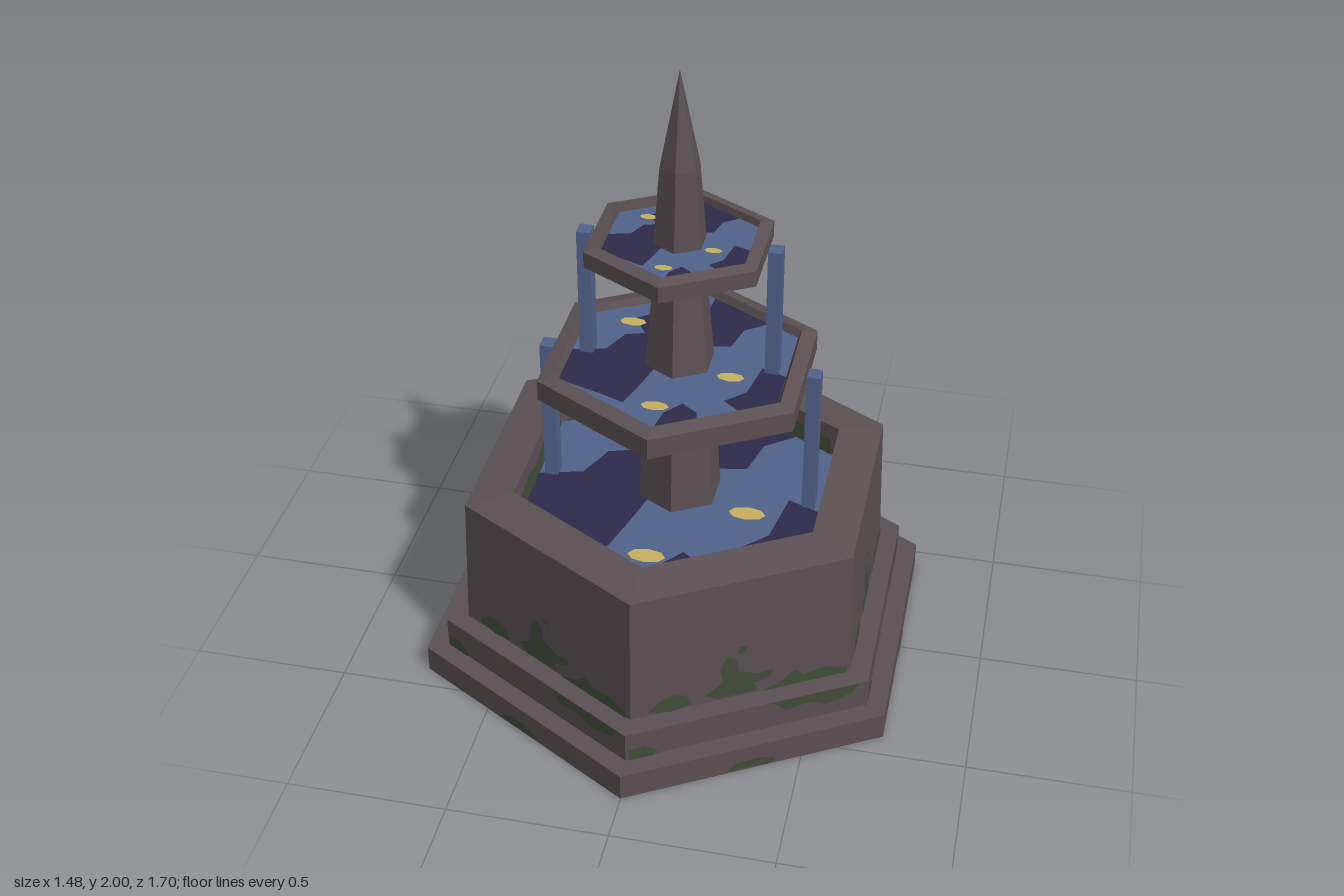
import * as THREE from 'three';

const mat = (name, color, extra = {}) =>
  Object.assign(new THREE.MeshStandardMaterial({ color, ...extra }), { name });

export function createModel() {
  const stone = mat('stone', 0x5c5053, { flatShading: true });
  const moss = mat('moss', 0x424e39);
  const water = mat('water', 0x50638a, { flatShading: true });
  const deepWater = mat('deep water', 0x2d2b49);
  const gold = mat('coin gold', 0xc6b160);

  const fountain = new THREE.Group();
  fountain.name = 'fountain';
  const add = (name, geometry, material, parent = fountain) => {
    const mesh = new THREE.Mesh(geometry, material);
    mesh.name = name;
    parent.add(mesh);
    return mesh;
  };

  // Six-sided solid turned from [radius, height] points, corners on the z axis
  const hexSolid = (name, points) => {
    const profile = points.map(([r, y]) => new THREE.Vector2(r, y));
    return add(name, new THREE.LatheGeometry(profile, 6).toNonIndexed(), stone);
  };
  const flat = (points) =>
    new THREE.ShapeGeometry(new THREE.Shape(points.map(([x, y]) => new THREE.Vector2(x, y))));

  // Stepped base, basin, bowls, columns and spire
  hexSolid('lowerStep', [[0, 0], [0.85, 0], [0.85, 0.09], [0.7, 0.09]]);
  hexSolid('upperStep', [[0.78, 0.09], [0.78, 0.19], [0.6, 0.19]]);
  hexSolid('basin', [[0.71, 0.19], [0.695, 0.63], [0.54, 0.645], [0.53, 0.53]]);
  hexSolid('lowerColumn', [[0.137, 0.53], [0.115, 0.84]]);
  hexSolid('middleBowl', [[0, 0.83], [0.125, 0.83], [0.45, 0.975], [0.45, 1.043],
    [0.398, 1.055], [0.378, 1.015]]);
  hexSolid('upperColumn', [[0.112, 1.01], [0.085, 1.32]]);
  hexSolid('topBowl', [[0, 1.305], [0.08, 1.305], [0.295, 1.412], [0.295, 1.463],
    [0.252, 1.472], [0.243, 1.435]]);
  hexSolid('spire', [[0.084, 1.43], [0.062, 1.7], [0, 2]]);

  // Water surfaces: one pattern in unit hexagon coordinates (x, z)
  const deepPatches = [
    [[0.1, -0.93], [0.6, -0.64], [0.42, -0.5], [0.36, -0.25], [0.1, -0.2], [0, 0],
      [-0.15, 0.12], [-0.22, 0.4], [-0.3, 0.68], [-0.5, 0.6], [-0.86, 0.48], [-0.86, 0.05],
      [-0.6, -0.02], [-0.5, -0.25], [-0.35, -0.3], [-0.48, -0.5], [-0.28, -0.65],
      [-0.1, -0.6], [0.08, -0.7]],
    [[0.86, 0.08], [0.86, 0.45], [0.6, 0.62], [0.45, 0.5], [0.6, 0.35], [0.66, 0]],
    [[0, 0.96], [0.03, 0.75], [0.15, 0.6], [0.28, 0.7], [0.3, 0.8]],
  ];
  const coins = [[-0.48, -0.44], [0.44, 0.18], [-0.05, 0.68]];
  const pools = [['basinWater', 0.535, 0.54], ['middleWater', 0.388, 1.03], ['topWater', 0.248, 1.45]];
  for (const [name, radius, y] of pools) {
    const pool = new THREE.Group();
    pool.name = name;
    pool.position.y = y;
    pool.scale.set(radius, 1, radius);
    fountain.add(pool);
    add('waterSurface', new THREE.CircleGeometry(1, 6, Math.PI / 2).rotateX(-Math.PI / 2), water, pool);
    for (const patch of deepPatches) {
      const shape = flat(patch.map(([x, z]) => [x, -z])).rotateX(-Math.PI / 2);
      add('deepPatch', shape, deepWater, pool).position.y = 0.002;
    }
    for (const [x, z] of coins) {
      const coin = new THREE.CircleGeometry(0.1, 8).scale(1.1, 0.6, 1).rotateX(-Math.PI / 2);
      add('coin', coin, gold, pool).position.set(x, 0.004, z);
    }
  }

  // Falling jets on both sides
  for (const side of [-1, 1]) {
    for (const [name, x, low, high] of [['lowerJet', 0.417, 0.54, 1.035], ['upperJet', 0.288, 1.03, 1.455]]) {
      const jet = add(name, new THREE.BoxGeometry(0.042, high - low, 0.05), water);
      jet.position.set(side * x, (low + high) / 2, 0);
    }
  }

  // Moss repeated on each of the six faces
  const wallMoss = [
    [[-0.3, 0.015], [-0.26, 0.05], [-0.22, 0.062], [-0.18, 0.05], [-0.16, 0.01], [-0.23, 0]],
    [[-0.12, 0.03], [-0.06, 0.07], [-0.07, 0.12], [-0.05, 0.165], [-0.02, 0.15], [-0.01, 0.1],
      [0.05, 0.075], [0.1, 0.08], [0.09, 0.055], [0.04, 0.04], [0.05, 0.01], [-0.08, 0.008]],
    [[-0.015, 0.17], [0.015, 0.17], [0.012, 0.192], [-0.01, 0.192]],
    [[0.06, 0], [0.13, 0.025], [0.17, 0.06], [0.2, 0.03], [0.27, 0.045], [0.34, 0.02], [0.34, 0]],
  ];
  const upperStepMoss = [
    [[-0.38, 0], [-0.38, 0.04], [-0.33, 0.045], [-0.29, 0.015], [-0.3, 0]],
    [[0.08, 0.1], [0.12, 0.06], [0.2, 0.07], [0.25, 0.045], [0.34, 0.07], [0.36, 0.1]],
  ];
  const lowerStepMoss = [[[-0.09, 0.01], [-0.06, 0.035], [0.02, 0.04], [0.07, 0.02], [0.05, 0.005]]];
  const innerMoss = [[[-0.25, 0], [-0.23, 0.05], [-0.12, 0.065], [-0.05, 0.045], [0.06, 0.075],
    [0.16, 0.05], [0.24, 0.06], [0.25, 0]]];
  const mossOnFaces = (name, patches, apothem, y, lean, inward = false) => {
    for (const patch of patches) {
      const shape = flat(patch);
      for (let i = 0; i < 6; i++) {
        const angle = Math.PI / 6 + (i * Math.PI) / 3;
        const mesh = add(name, shape, moss);
        mesh.rotation.set(-lean, angle + (inward ? Math.PI : 0), 0, 'YXZ');
        mesh.position.set(Math.sin(angle) * apothem, y, Math.cos(angle) * apothem);
      }
    }
  };
  mossOnFaces('basinMoss', wallMoss, 0.618, 0.19, 0.03);
  mossOnFaces('upperStepMoss', upperStepMoss, 0.6785, 0.09, 0);
  mossOnFaces('lowerStepMoss', lowerStepMoss, 0.739, 0, 0);
  mossOnFaces('innerMoss', innerMoss, 0.457, 0.54, 0.075, true);

  // Damp patch under the base
  const damp = new THREE.CircleGeometry(0.15, 9).rotateX(Math.PI / 2);
  add('undersideMoss', damp, moss).position.y = -0.002;

  return fountain;
}
